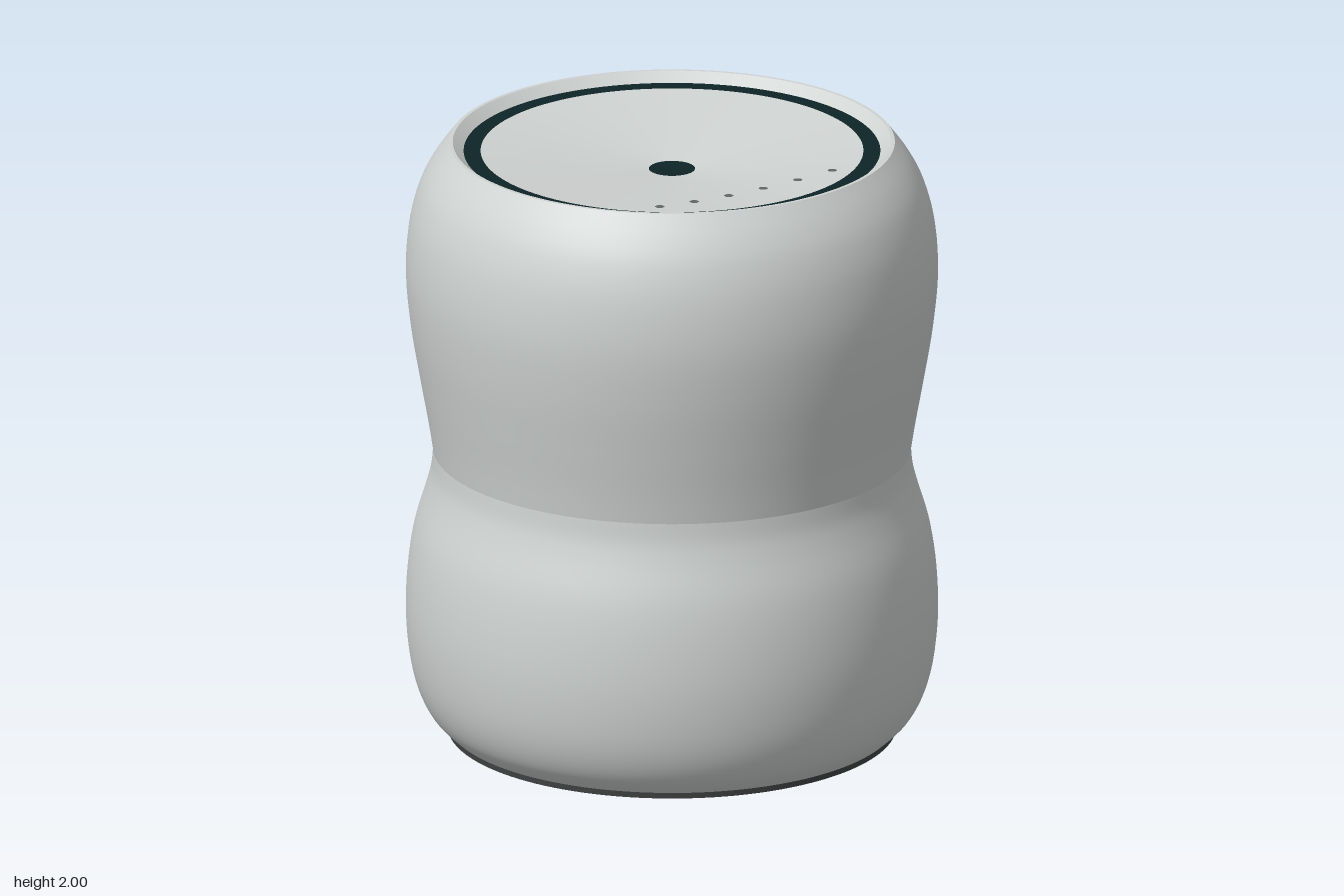
import * as THREE from 'three';

const material = (name, color) => {
  const m = new THREE.MeshStandardMaterial({ color });
  m.name = name;
  return m;
};

export function createModel() {
  const group = new THREE.Group();
  const shell = material('pale grey', 0xcfd3d1);
  const dark = material('dark teal', 0x0e2426);
  const rubber = material('charcoal', 0x434544);
  const dotGrey = material('mid grey', 0x626665);

  const add = (name, geometry, mat, parent = group) => {
    const mesh = new THREE.Mesh(geometry, mat);
    mesh.name = name;
    parent.add(mesh);
    return mesh;
  };
  const vec = ([r, y]) => new THREE.Vector2(r, y);
  const lathe = (points, segments = 128) => new THREE.LatheGeometry(points.map(vec), segments);
  const spline = (points) => new THREE.SplineCurve(points.map(vec));
  const revolve = (curve) => new THREE.LatheGeometry(curve.getPoints(40), 128);

  // Two rounded halves meeting in a creased waist
  const lower = spline([[0.73, 0.02], [0.785, 0.075], [0.825, 0.155], [0.85, 0.26], [0.862, 0.4],
    [0.856, 0.55], [0.835, 0.69], [0.797, 0.82], [0.78, 0.89], [0.774, 0.955]]);
  const upper = spline([[0.774, 0.955], [0.784, 1.02], [0.796, 1.09], [0.816, 1.2], [0.846, 1.38],
    [0.862, 1.56], [0.851, 1.72], [0.82, 1.84], [0.777, 1.925], [0.722, 2]]);
  add('lowerBody', revolve(lower), shell);
  add('upperBody', revolve(upper), shell);

  // Foot pad
  add('base', new THREE.CylinderGeometry(0.73, 0.727, 0.02, 128).translate(0, 0.01, 0), rubber);

  // Rim, dark groove ring, dished top and centre hole
  const ringY = 1.97, centreY = 1.9, discR = 0.62;
  const dishY = (r) => centreY + (ringY - centreY) * r / discR;
  add('rimLip', lathe([[0.722, 2], [0.71, 2]]), shell);
  add('rimWall', lathe([[0.71, 2], [0.675, ringY]]), shell);
  add('grooveRing', lathe([[0.675, ringY], [discR, ringY]]), dark);
  add('topDish', lathe([[discR, ringY], [0.075, dishY(0.075)]]), shell);
  add('centreHole', lathe([[0.075, dishY(0.075)], [0, centreY]], 48), dark);

  // Row of indicator dots near the front of the top
  const dots = new THREE.Group();
  dots.name = 'indicatorDots';
  group.add(dots);
  for (let i = 0; i < 6; i++) {
    const x = -0.333 + i * 0.1332, z = 0.44;
    const dot = add('indicatorDot', new THREE.CircleGeometry(0.015, 16).rotateX(-Math.PI / 2), dotGrey, dots);
    dot.position.set(x, dishY(Math.hypot(x, z)) + 0.004, z);
  }

  // Rows of vent slots wrapped around the back of the waist
  const radiusAt = (curve, y) => {
    const pts = curve.getPoints(80);
    const i = pts.findIndex((p) => p.y >= y);
    const a = pts[i - 1], b = pts[i];
    return a.x + (b.x - a.x) * (y - a.y) / (b.y - a.y);
  };
  const vents = new THREE.Group();
  vents.name = 'rearVents';
  group.add(vents);
  const count = 11, pitch = THREE.MathUtils.degToRad(5), width = THREE.MathUtils.degToRad(3.4);
  const rows = [[upper, 1.087, 0.022], [upper, 1.022, 0.02], [lower, 0.888, 0.008], [lower, 0.82, 0.02]];
  for (const [curve, y, height] of rows) {
    const edge = [y - height / 2, y + height / 2].map((h) => new THREE.Vector2(radiusAt(curve, h) + 0.004, h));
    for (let i = 0; i < count; i++) {
      const start = Math.PI + (i - (count - 1) / 2) * pitch - width / 2;
      add('ventSlot', new THREE.LatheGeometry(edge, 3, start, width), dark, vents);
    }
  }
  return group;
}
